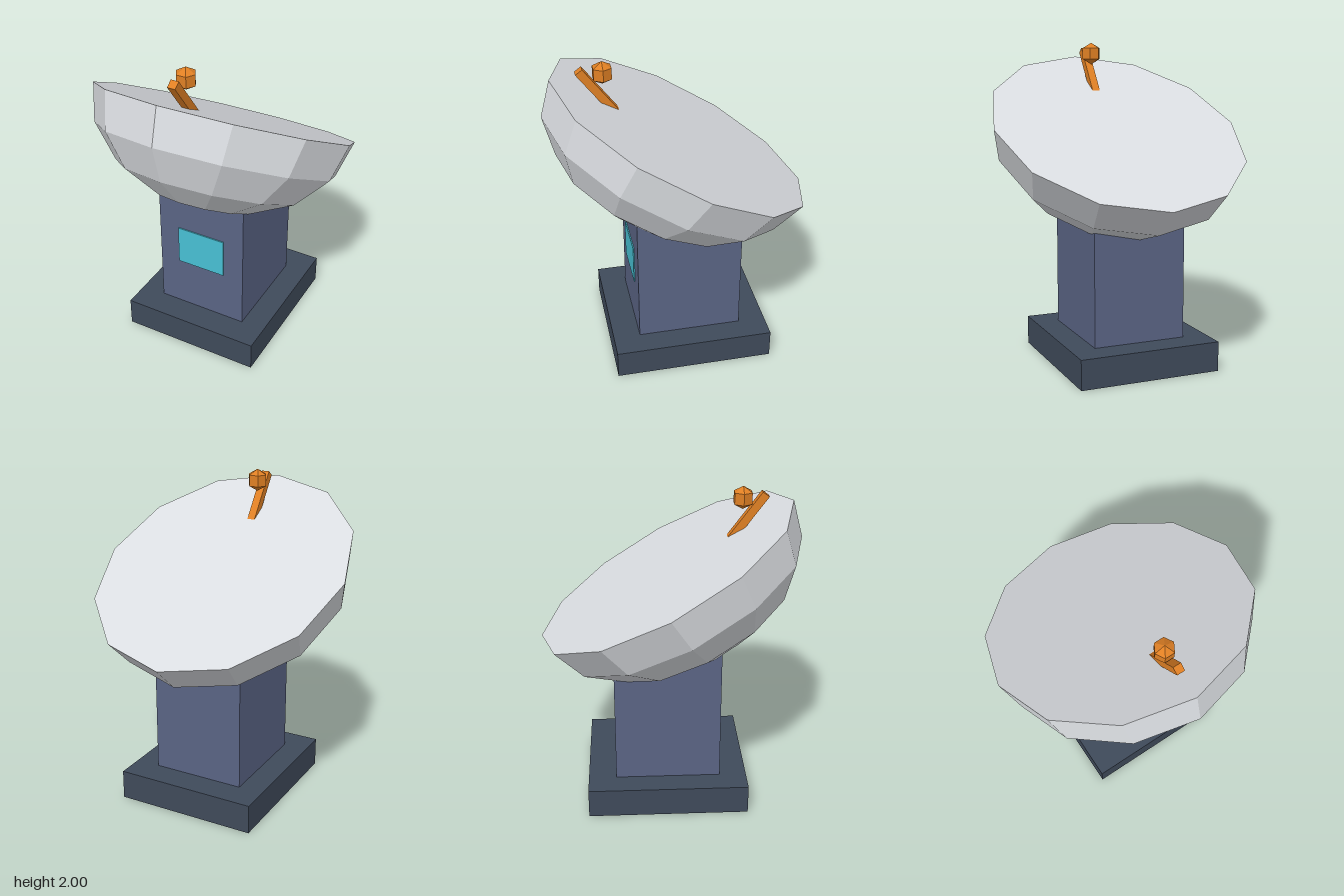
import * as THREE from 'three';

const paint = (name, color) => {
  const m = new THREE.MeshStandardMaterial({ color, flatShading: true });
  m.name = name;
  return m;
};

export function createModel() {
  const model = new THREE.Group();
  model.name = 'dishAntenna';

  const slate = paint('dark slate', 0x3f4a5a);
  const steel = paint('blue grey', 0x5a6484);
  const cyan = paint('cyan', 0x48c0d4);
  const pale = paint('pale grey', 0xd9dce0);
  const orange = paint('orange', 0xe08024);

  const add = (name, geometry, material, x, y, z) => {
    const mesh = new THREE.Mesh(geometry, material);
    mesh.name = name;
    mesh.position.set(x, y, z);
    model.add(mesh);
    return mesh;
  };

  // Base slab, pillar and the thin front panel
  add('base', new THREE.BoxGeometry(0.9, 0.185, 1.005), slate, 0, 0.0925, -0.0275);
  add('pillar', new THREE.BoxGeometry(0.59, 0.935, 0.66), steel, 0, 0.6525, -0.025);
  add('frontPanel', new THREE.BoxGeometry(0.32, 0.26, 0.009), cyan, 0, 0.65, 0.3075);

  // Dish bowl and its flat face: a unit half sphere, stretched and tilted
  const tilt = new THREE.Matrix4().makeBasis(
    new THREE.Vector3(0.8, 0, 0),
    new THREE.Vector3(0, 0.51, -0.313),
    new THREE.Vector3(0, 0.425, 0.77)
  );
  const bowl = new THREE.SphereGeometry(1, 12, 4, 0, Math.PI * 2, Math.PI / 2, Math.PI / 2);
  const face = new THREE.CircleGeometry(1, 12).rotateX(-Math.PI / 2);
  add('dishBowl', bowl.applyMatrix4(tilt), pale, 0, 1.485, -0.03);
  add('dishFace', face.applyMatrix4(tilt), pale, 0, 1.485, -0.03);

  // Feed arm leaning forward out of the dish, and the receiver beside its tip
  const arm = add('feedArm', new THREE.BoxGeometry(0.05, 0.42, 0.05), orange, 0, 1.784, 0.445);
  arm.rotation.x = Math.atan2(0.595, 0.804);
  add('receiver', new THREE.SphereGeometry(0.07, 6, 3), orange, 0, 1.93, 0.435);

  return model;
}
